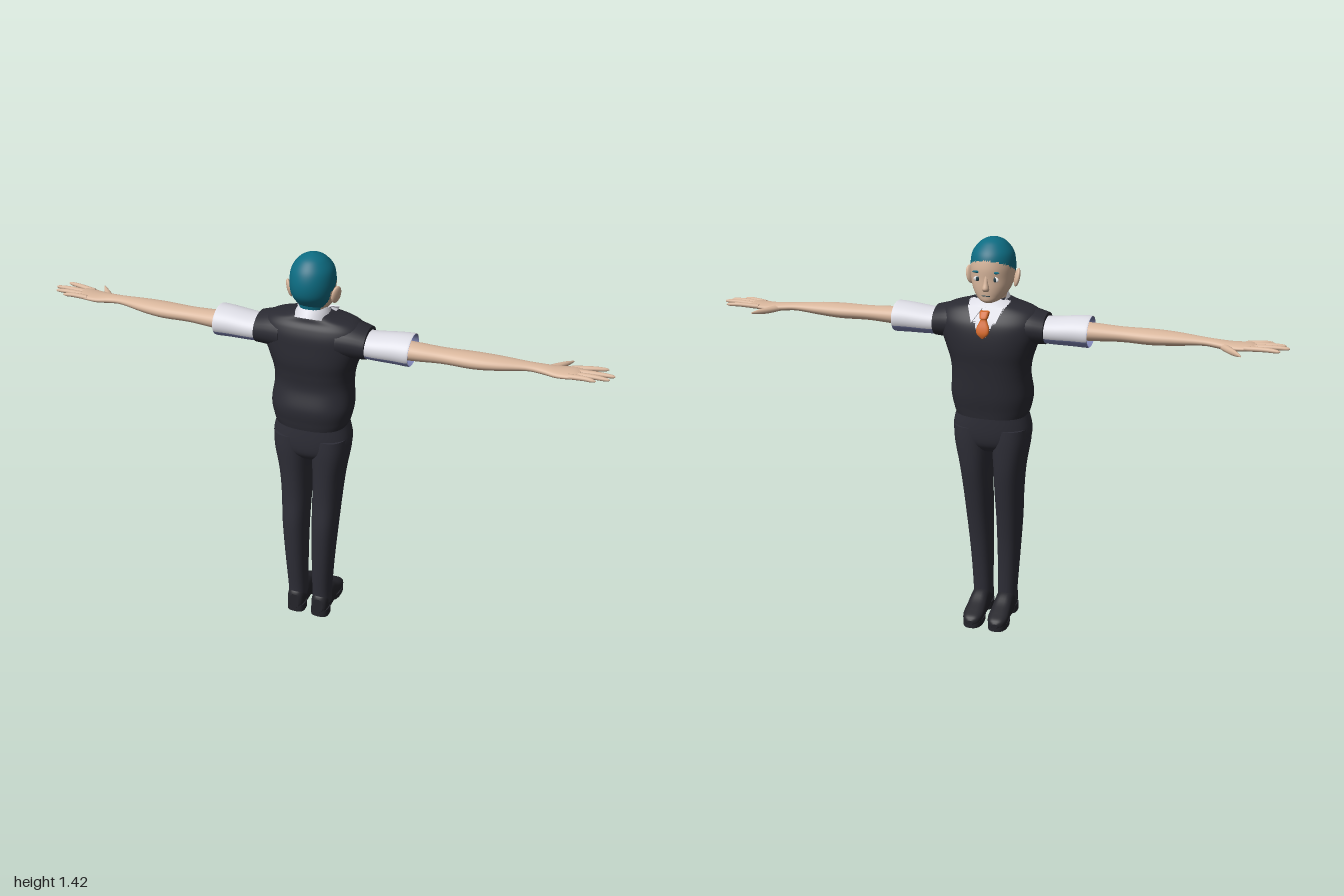
import * as THREE from 'three';

const mat = (name, color, double) => {
  const m = new THREE.MeshStandardMaterial({ color });
  m.name = name;
  if (double) m.side = THREE.DoubleSide;
  return m;
};

// Smooth loft through sections [t, cu, cv, ru, rv] along an axis.
// y: u = x, v = z.  x: u = y, v = z.  z: u = x, v = y.
function loft(axis, secs, { n = 32, sub = 4, p = 2, caps = true } = {}) {
  const rows = [];
  const at = i => secs[Math.min(Math.max(i, 0), secs.length - 1)];
  for (let i = 0; i < secs.length - 1; i++)
    for (let k = 0; k < sub; k++) {
      const f = k / sub;
      rows.push(secs[i].map((b, j) => {
        const a = at(i - 1)[j], c = at(i + 1)[j], d = at(i + 2)[j];
        return b + 0.5 * f * (c - a + f * (2 * a - 5 * b + 4 * c - d + f * (3 * (b - c) + d - a)));
      }));
    }
  rows.push(at(secs.length));
  if (caps) {
    const a = rows[0], b = rows[rows.length - 1];
    rows.unshift([a[0], a[1], a[2], 0, 0], a);
    rows.push(b, [b[0], b[1], b[2], 0, 0]);
  }
  const pos = [], idx = [];
  const bend = v => Math.sign(v) * Math.pow(Math.abs(v), 2 / p);
  for (const [t, cu, cv, ru, rv] of rows)
    for (let i = 0; i < n; i++) {
      const a = (i / n) * Math.PI * 2;
      const u = cu + ru * bend(Math.cos(a)), v = cv + rv * bend(Math.sin(a));
      pos.push(...(axis === 'y' ? [u, t, v] : axis === 'x' ? [t, u, v] : [u, v, t]));
    }
  const flip = (axis !== 'y') !== (at(secs.length)[0] < secs[0][0]);
  for (let r = 0; r < rows.length - 1; r++)
    for (let i = 0; i < n; i++) {
      const a = r * n + i, b = r * n + (i + 1) % n, c = a + n, d = b + n;
      idx.push(...(flip ? [a, b, c, b, d, c] : [a, c, b, b, c, d]));
    }
  const g = new THREE.BufferGeometry();
  g.setAttribute('position', new THREE.Float32BufferAttribute(pos, 3));
  g.setIndex(idx);
  g.computeVertexNormals();
  return g;
}

// Sorts faces into two material groups by a rule on the face centre.
function paint(g, rule) {
  const parts = [[], []], p = g.attributes.position, ix = g.index.array;
  for (let i = 0; i < ix.length; i += 3) {
    const f = [ix[i], ix[i + 1], ix[i + 2]];
    const mid = k => f.reduce((s, v) => s + p.getComponent(v, k), 0) / 3;
    parts[rule(mid(0), mid(1), mid(2)) ? 1 : 0].push(...f);
  }
  g.setIndex([...parts[0], ...parts[1]]);
  g.addGroup(0, parts[0].length, 0);
  g.addGroup(parts[0].length, parts[1].length, 1);
  return g;
}

export function createModel() {
  const root = new THREE.Group();
  const skin = mat('skin', 0xd8b69c), hair = mat('hair teal', 0x0d6c82);
  const vest = mat('vest charcoal', 0x2a2a32), trouser = mat('trouser charcoal', 0x2e2e37);
  const shoe = mat('shoe black', 0x25252b), shirt = mat('shirt white', 0xdcdce4, true);
  const shade = mat('shirt lavender', 0x8288b8, true), orange = mat('tie orange', 0xd4692a);
  const white = mat('eye white', 0xf2f2f2), dark = mat('iris dark', 0x24404a);

  const add = (name, geo, material, parent = root) => {
    const m = new THREE.Mesh(geo, material);
    m.name = name;
    parent.add(m);
    return m;
  };
  const blob = (name, m, [x, y, z], [sx, sy, sz], ry = 0, rz = 0) => {
    const o = add(name, new THREE.SphereGeometry(1, 20, 14), m);
    o.position.set(x, y, z);
    o.scale.set(sx, sy, sz);
    o.rotation.set(0, ry, rz);
    return o;
  };

  // Head with painted hair cap
  const headGeo = loft('y', [
    [1.205, 0, -0.025, 0.012, 0.02], [1.215, 0, -0.02, 0.034, 0.042], [1.235, 0, -0.006, 0.054, 0.06],
    [1.26, 0, 0.006, 0.067, 0.074], [1.29, 0, 0.016, 0.074, 0.084], [1.33, 0, 0.018, 0.076, 0.087],
    [1.37, 0, 0.018, 0.069, 0.077], [1.4, 0, 0.02, 0.047, 0.052], [1.414, 0, 0.02, 0.024, 0.027], [1.42, 0, 0.02, 0.001, 0.001],
  ], { n: 64, sub: 6 });
  add('head', paint(headGeo, (x, y, z) => y > (z < 0.045 ? 1.355 - 0.5 * (z + 0.068) : 1.235)), [skin, hair]);
  const neckGeo = loft('y', [[1.15, 0, 0.02, 0.05, 0.05], [1.2, 0, 0.02, 0.045, 0.045], [1.27, 0, 0.025, 0.045, 0.048]]);
  add('neck', paint(neckGeo, (x, y, z) => z > 0.045 && y > 1.225), [skin, hair]);

  // Face
  add('nose', loft('y', [[1.25, 0, -0.066, 0.008, 0.004], [1.26, 0, -0.068, 0.012, 0.014],
    [1.28, 0, -0.066, 0.008, 0.009], [1.305, 0, -0.064, 0.005, 0.004]], { n: 16 }), skin);
  blob('mouth', dark, [0, 1.235, -0.065], [0.016, 0.0018, 0.003]);
  for (const s of [1, -1]) {
    blob('ear', skin, [s * 0.082, 1.285, 0.022], [0.009, 0.032, 0.02], s * -0.5, s * -0.2);
    blob('eye', white, [s * 0.031, 1.292, -0.0605], [0.014, 0.009, 0.004], s * 0.42);
    blob('iris', dark, [s * 0.03, 1.292, -0.0632], [0.006, 0.008, 0.003], s * 0.42);
    blob('brow', hair, [s * 0.032, 1.315, -0.0615], [0.017, 0.004, 0.004], s * 0.42, s * 0.12);
  }

  // Vest with the shirt showing in the V-neck
  const vestGeo = loft('y', [
    [0.805, 0, 0.015, 0.127, 0.1], [0.83, 0, 0.015, 0.135, 0.103], [0.88, 0, 0.0125, 0.143, 0.108],
    [0.95, 0, 0, 0.137, 0.1], [1.0, 0, -0.002, 0.141, 0.102], [1.05, 0, -0.002, 0.156, 0.107],
    [1.1, 0, -0.002, 0.174, 0.105], [1.14, 0, 0, 0.182, 0.099], [1.17, 0, 0.003, 0.172, 0.086],
    [1.19, 0, 0.005, 0.145, 0.072], [1.205, 0, 0.01, 0.09, 0.062], [1.215, 0, 0.015, 0.06, 0.052],
  ], { n: 128, sub: 8, p: 2.5 });
  add('vest', paint(vestGeo, (x, y, z) => z < -0.01 && y > 1.095 + Math.abs(x) * 1.6), [vest, shirt]);

  // Collar and tie
  const collar = add('collar', loft('y', [[-0.025, 0, 0, 0.068, 0.082], [0, 0, 0, 0.062, 0.076], [0.022, 0, 0, 0.052, 0.064]],
    { caps: false }), shirt);
  collar.position.set(0, 1.202, 0.004);
  collar.rotation.x = -0.44;
  for (const s of [1, -1]) {
    const wing = new THREE.Shape([[0.01, 0.02], [0.062, 0.025], [0.042, -0.035]].map(([x, y]) => new THREE.Vector2(s * x, y)));
    const w = add('collarPoint', new THREE.ExtrudeGeometry(wing, { depth: 0.004, bevelEnabled: false }), shirt);
    w.position.set(0, 1.18, -0.084);
    w.rotation.x = 0.55;
  }
  add('tie', loft('y', [[1.1, 0, -0.106, 0.004, 0.004], [1.115, 0, -0.106, 0.02, 0.008], [1.135, 0, -0.102, 0.022, 0.008],
    [1.16, 0, -0.092, 0.011, 0.008], [1.168, 0, -0.089, 0.014, 0.012], [1.187, 0, -0.077, 0.017, 0.012]], { n: 20, p: 3 }), orange);

  // Arms
  for (const s of [1, -1]) {
    const along = secs => secs.map(([x, ...r]) => [s * x, ...r]);
    add('armhole', loft('x', along([[0.1, 1.13, 0.005, 0.066, 0.088], [0.15, 1.127, 0.005, 0.06, 0.08],
      [0.195, 1.122, 0.006, 0.053, 0.071]])), vest);
    const sleeve = loft('x', along([[0.16, 1.12, 0.007, 0.044, 0.06], [0.21, 1.117, 0.007, 0.046, 0.063],
      [0.29, 1.121, 0.007, 0.051, 0.066], [0.335, 1.122, 0.007, 0.053, 0.069], [0.345, 1.122, 0.007, 0.052, 0.068]]),
      { n: 48, caps: false });
    add('sleeve', paint(sleeve, (x, y) => y < 1.1), [shirt, shade]);
    add('sleeveLining', loft('x', along([[0.3, 1.121, 0.007, 0.046, 0.061], [0.345, 1.122, 0.007, 0.05, 0.066]]),
      { caps: false }), shade);
    add('arm', loft('x', along([[0.2, 1.12, 0.01, 0.034, 0.042], [0.35, 1.121, 0.012, 0.03, 0.04],
      [0.45, 1.122, 0.01, 0.025, 0.036], [0.55, 1.122, 0.008, 0.026, 0.041], [0.63, 1.124, 0.004, 0.022, 0.036],
      [0.72, 1.126, -0.004, 0.014, 0.024], [0.77, 1.123, -0.008, 0.014, 0.026], [0.82, 1.12, -0.01, 0.014, 0.036],
      [0.87, 1.124, -0.012, 0.012, 0.04], [0.89, 1.126, -0.012, 0.007, 0.036]])), skin);
    // Fingers: root z, tip x, tip z
    for (const [z0, x1, z1] of [[-0.041, 0.972, -0.062], [-0.021, 0.998, -0.02], [-0.001, 0.985, 0.008], [0.017, 0.945, 0.031]]) {
      const mid = (0.865 + x1) / 2;
      add('finger', loft('x', along([[0.855, 1.124, z0, 0.009, 0.01], [mid, 1.129, (z0 + z1) / 2, 0.008, 0.009],
        [x1 - 0.012, 1.129, z1 * 0.9 + z0 * 0.1, 0.006, 0.006], [x1, 1.129, z1, 0.001, 0.001]]), { n: 12 }), skin);
    }
    add('thumb', loft('z', [[-0.015, s * 0.785, 1.12, 0.022, 0.011], [-0.05, s * 0.808, 1.118, 0.015, 0.011],
      [-0.08, s * 0.832, 1.117, 0.009, 0.009], [-0.105, s * 0.852, 1.117, 0.002, 0.003]], { n: 14 }), skin);
  }

  // Trousers
  add('hips', loft('y', [[0.67, 0, 0.018, 0.075, 0.06], [0.7, 0, 0.017, 0.125, 0.084], [0.75, 0, 0.015, 0.141, 0.092],
    [0.82, 0, 0.0125, 0.124, 0.092]], { n: 40, p: 2.3 }), trouser);
  for (const s of [1, -1]) {
    const leg = [[0.05, 0.048, 0.048, 0.034, 0.043], [0.1, 0.047, 0.048, 0.035, 0.043], [0.2, 0.05, 0.05, 0.038, 0.05],
      [0.3, 0.053, 0.048, 0.042, 0.058], [0.4, 0.056, 0.041, 0.046, 0.067], [0.5, 0.058, 0.027, 0.05, 0.072],
      [0.6, 0.062, 0.018, 0.055, 0.081], [0.7, 0.068, 0.016, 0.066, 0.088], [0.76, 0.069, 0.015, 0.067, 0.088]];
    add('trouserLeg', loft('y', leg.map(([y, x, ...r]) => [y, s * x, ...r]), { p: 2.3 }), trouser);

    // Shoes
    const x = s * 0.047;
    add('shoe', loft('z', [[0.097, x, 0.048, 0.018, 0.03], [0.085, x, 0.052, 0.03, 0.04], [0.04, x, 0.056, 0.034, 0.044],
      [0, x, 0.054, 0.034, 0.042], [-0.04, x, 0.042, 0.036, 0.03], [-0.08, x, 0.033, 0.037, 0.022],
      [-0.108, x, 0.027, 0.027, 0.016], [-0.119, x, 0.022, 0.01, 0.008]], { p: 2.6 }), shoe);
    add('heel', loft('y', [[0, x, 0.063, 0.034, 0.034], [0.03, x, 0.063, 0.034, 0.034]], { p: 3, sub: 1 }), shoe);
    add('sole', loft('y', [[0, x, -0.065, 0.036, 0.054], [0.022, x, -0.062, 0.037, 0.056]], { p: 2.5, sub: 1 }), shoe);
    add('shank', loft('y', [[0.012, x, 0.01, 0.028, 0.06], [0.03, x, 0.01, 0.03, 0.06]], { p: 3, sub: 1 }), shoe);
  }
  return root;
}
